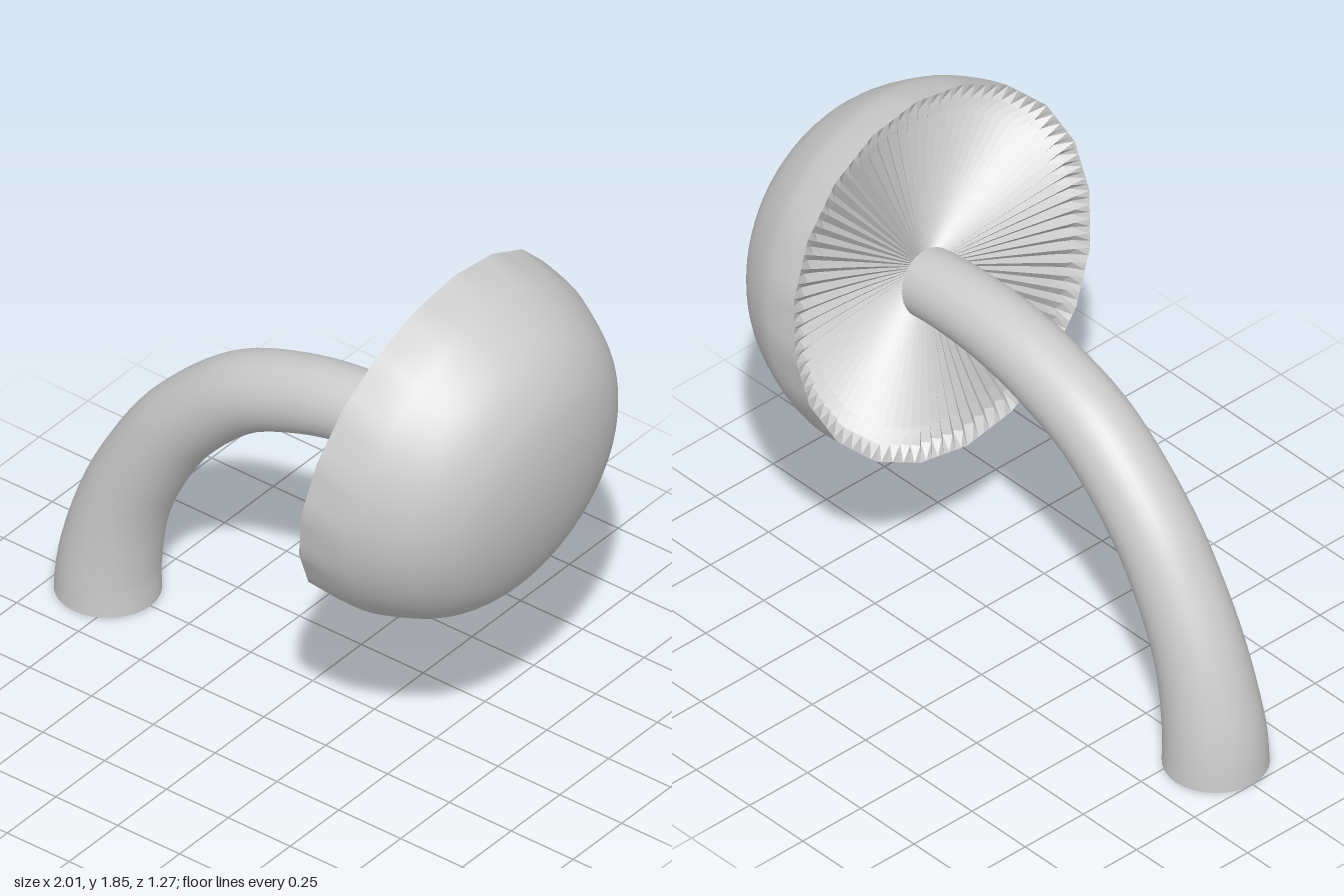
import * as THREE from 'three';

const TAU = Math.PI * 2;
const RIM = 0.636;

// Surface from rings: point(angle, t, i, j), closed around the angle
function ringSurface(around, along, point) {
  const pos = [], index = [];
  for (let j = 0; j <= along; j++) {
    for (let i = 0; i < around; i++) pos.push(...point((i / around) * TAU, j / along, i, j));
  }
  for (let j = 0; j < along; j++) {
    for (let i = 0; i < around; i++) {
      const n = (i + 1) % around;
      const a = j * around + i, b = j * around + n;
      const d = a + around, c = b + around;
      index.push(a, d, b, b, d, c);
    }
  }
  const g = new THREE.BufferGeometry();
  g.setAttribute('position', new THREE.Float32BufferAttribute(pos, 3));
  g.setIndex(index);
  g.computeVertexNormals();
  return g;
}

// Radius factor that turns a circle into a straight-edged 20-sided rim
function rimFactor(a) {
  const half = Math.PI / 20;
  return Math.cos(half) / Math.cos((a % (2 * half)) - half);
}

const spline = (pts) => new THREE.SplineCurve(pts.map(([x, y]) => new THREE.Vector2(x, y)));

export function createModel() {
  const model = new THREE.Group();
  const grey = new THREE.MeshStandardMaterial({ color: 0xcccccc });
  const add = (parent, name, geometry, material = grey) => {
    const mesh = new THREE.Mesh(geometry, material);
    mesh.name = name;
    parent.add(mesh);
    return mesh;
  };

  // Curved stem, flared at the foot
  const path = spline([
    [-0.828, 0], [-0.818, 0.14], [-0.765, 0.36], [-0.675, 0.56], [-0.527, 0.783],
    [-0.288, 1.002], [-0.035, 1.11], [0.2, 1.157], [0.435, 1.16], [0.58, 1.14],
  ]);
  const radius = spline([
    [0, 0.172], [0.1, 0.149], [0.2, 0.139], [0.4, 0.134], [0.7, 0.125], [1, 0.116],
  ]);
  add(model, 'stem', ringSurface(40, 48, (a, t, i, j) => {
    const p = path.getPointAt(t);
    const d = j === 0 ? new THREE.Vector2(0, 1) : path.getTangentAt(t);
    const r = radius.getPoint(t).y;
    const c = Math.cos(a) * r;
    return [p.x + d.y * c, Math.max(0, p.y - d.x * c), Math.sin(a) * r];
  }));

  // Flat underside of the foot
  const foot = add(model, 'stemBase', new THREE.CircleGeometry(0.172, 40));
  foot.rotation.x = Math.PI / 2;
  foot.position.x = -0.828;

  // Cap, tipped over sideways
  const cap = new THREE.Group();
  cap.name = 'cap';
  cap.position.set(0.4575, 1.22, 0);
  cap.rotation.z = -1.757;
  model.add(cap);

  // Domed skin: crisp 20-sided rim that rounds out towards the crown
  const dome = spline([
    [RIM, 0], [0.625, 0.1], [0.6, 0.195], [0.52, 0.35], [0.41, 0.45],
    [0.277, 0.505], [0.13, 0.533], [0.0005, 0.54],
  ]);
  add(cap, 'capTop', ringSurface(80, 32, (a, t) => {
    const p = dome.getPoint(t);
    const blend = Math.max(0, 1 - p.y / 0.2);
    const r = p.x * THREE.MathUtils.lerp(1, rimFactor(a), blend);
    return [r * Math.cos(a), p.y, r * Math.sin(a)];
  }));

  // Pleated gills on a shallow hollow, meeting the rim in a flat edge
  const gillMaterial = new THREE.MeshStandardMaterial({
    color: 0xcccccc, flatShading: true, side: THREE.DoubleSide,
  });
  add(cap, 'gills', ringSurface(160, 12, (a, t, i) => {
    const r = Math.max(t, 0.002) * RIM * rimFactor(a);
    const hollow = 0.075 * (1 - t ** 1.5);
    const pleat = (i % 2) * 0.03 * t * Math.min(1, (1 - t) * 10);
    return [r * Math.cos(a), hollow + pleat, r * Math.sin(a)];
  }), gillMaterial);

  return model;
}
